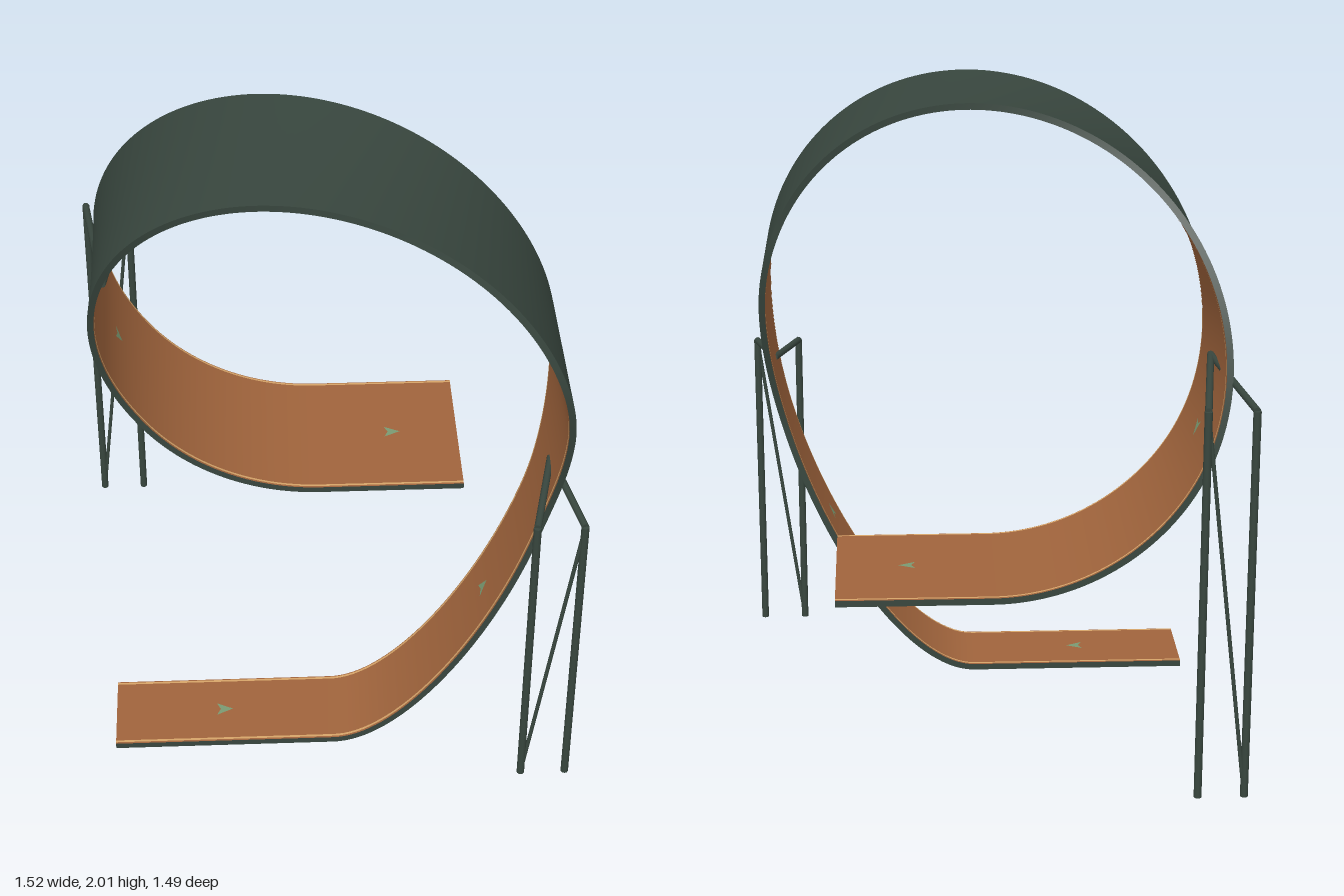
import * as THREE from 'three';

const DARK = 0x38463e, WOOD = 0xa0643c, EDGE = 0xd6a469, MARK = 0x7a9a72;
const R = 0.7, CY = 1.29, HALF_T = 0.01;
const material = (color, side = THREE.FrontSide) => new THREE.MeshStandardMaterial({ color, side });

// Side profile: run-in, climb, three quarters of a loop, run-out
const climb = new THREE.CubicBezierCurve(
  new THREE.Vector2(0.02, 0.01), new THREE.Vector2(0.3, 0.01),
  new THREE.Vector2(R, 0.75), new THREE.Vector2(R, CY));
const path = new THREE.CurvePath();
path.add(new THREE.LineCurve(new THREE.Vector2(-0.68, 0.01), climb.v0));
path.add(climb);
path.add(new THREE.EllipseCurve(0, CY, R, R, 0, Math.PI * 1.5));
path.add(new THREE.LineCurve(new THREE.Vector2(0, CY - R), new THREE.Vector2(0.47, CY - R)));
const LENGTH = path.getLength();
const LOOP_START = path.getCurveLengths()[1];

// Centre line: drifts sideways through the loop
function centre(s) {
  const p = path.getPoint(THREE.MathUtils.clamp(s / LENGTH, 0, 1));
  const angle = THREE.MathUtils.radToDeg((s - LOOP_START) / R);
  return new THREE.Vector3(p.x, p.y, 0.42 - 0.7 * THREE.MathUtils.smoothstep(angle, 16, 216));
}

// Local frame and half width at distance s
function frame(s) {
  const e = 0.004;
  const t = centre(Math.min(s + e, LENGTH)).sub(centre(Math.max(s - e, 0))).normalize();
  const n = new THREE.Vector3(-t.y, t.x, 0).normalize();
  const a = t.clone().cross(n).normalize();
  const angle = (s - LOOP_START) / R;
  const half = THREE.MathUtils.lerp(0.14, 0.278, THREE.MathUtils.smoothstep(angle, -0.65, 0.41));
  return { c: centre(s), t, n, a, half };
}

// Point on the cross-section: [side, inset from edge, lift]
const sectionPoint = (f, [side, inset, lift]) => f.c.clone()
  .addScaledVector(f.a, side * (f.half - inset))
  .addScaledVector(f.n, lift);

// Long face swept between two points of the cross-section
function strip(name, color, from, to) {
  const steps = 260, pos = [], index = [];
  for (let i = 0; i <= steps; i++) {
    const f = frame(LENGTH * i / steps);
    pos.push(...sectionPoint(f, from).toArray(), ...sectionPoint(f, to).toArray());
    const k = i * 2;
    if (i < steps) index.push(k, k + 1, k + 2, k + 1, k + 3, k + 2);
  }
  const g = new THREE.BufferGeometry();
  g.setAttribute('position', new THREE.Float32BufferAttribute(pos, 3));
  g.setIndex(index);
  g.computeVertexNormals();
  const mesh = new THREE.Mesh(g, material(color));
  mesh.name = name;
  return mesh;
}

// Round bar between two points
function bar(name, from, to, radius) {
  const a = new THREE.Vector3(...from), b = new THREE.Vector3(...to);
  const mesh = new THREE.Mesh(new THREE.CylinderGeometry(radius, radius, a.distanceTo(b), 10), material(DARK));
  mesh.position.copy(a).add(b).multiplyScalar(0.5);
  mesh.quaternion.setFromUnitVectors(new THREE.Vector3(0, 1, 0), b.sub(a).normalize());
  mesh.name = name;
  return mesh;
}

// Two-legged stand reaching in to the track
function support(name, x, z, top, apexZ) {
  const g = new THREE.Group();
  g.name = name;
  for (const dx of [-0.07, 0.07]) {
    g.add(bar('supportLeg', [x + dx, 0.02, z], [x + dx, top, z], 0.012));
    g.add(bar('supportArm', [x + dx, top, z], [x, top + 0.025, apexZ], 0.011));
  }
  g.add(bar('supportBrace', [x - 0.07, 0.02, z], [x + 0.07, top, z], 0.006));
  return g;
}

export function createModel() {
  const model = new THREE.Group();
  model.name = 'loopTrack';

  // Track ribbon
  const ribbon = new THREE.Group();
  ribbon.name = 'trackRibbon';
  ribbon.add(
    strip('runningSurface', WOOD, [-1, 0, HALF_T], [1, 0, HALF_T]),
    strip('underside', DARK, [1, 0, -HALF_T], [-1, 0, -HALF_T]),
    strip('frontEdge', DARK, [1, 0, HALF_T], [1, 0, -HALF_T]),
    strip('backEdge', DARK, [-1, 0, -HALF_T], [-1, 0, HALF_T]),
    strip('frontEdgeLine', EDGE, [1, 0.013, HALF_T + 0.0015], [1, 0.005, HALF_T + 0.0015]),
    strip('backEdgeLine', EDGE, [-1, 0.005, HALF_T + 0.0015], [-1, 0.013, HALF_T + 0.0015]));

  // Closed ends of the ribbon
  for (const s of [0, LENGTH]) {
    const f = frame(s);
    const cap = new THREE.Mesh(new THREE.PlaneGeometry(f.half * 2, HALF_T * 2), material(DARK, THREE.DoubleSide));
    cap.position.copy(f.c);
    cap.rotation.y = s ? Math.PI / 2 : -Math.PI / 2;
    cap.name = 'endCap';
    ribbon.add(cap);
  }
  model.add(ribbon);

  // Direction arrows along the running surface
  const arrow = new THREE.Shape([[0.028, 0], [-0.024, 0.026], [-0.012, 0], [-0.024, -0.026]]
    .map(([x, y]) => new THREE.Vector2(x, y)));
  for (let i = 0; i < 6; i++) {
    const f = frame(0.35 + i * (LENGTH - 0.57) / 5);
    const mesh = new THREE.Mesh(new THREE.ShapeGeometry(arrow), material(MARK, THREE.DoubleSide));
    mesh.quaternion.setFromRotationMatrix(new THREE.Matrix4().makeBasis(f.t, f.a.clone().negate(), f.n));
    mesh.position.copy(f.c).addScaledVector(f.n, HALF_T + 0.003);
    mesh.name = 'directionArrow';
    model.add(mesh);
  }

  model.add(support('leftSupport', 0.675, 0.735, 1.04, 0.44));
  model.add(support('rightSupport', -0.68, -0.735, 1.235, -0.24));
  return model;
}
